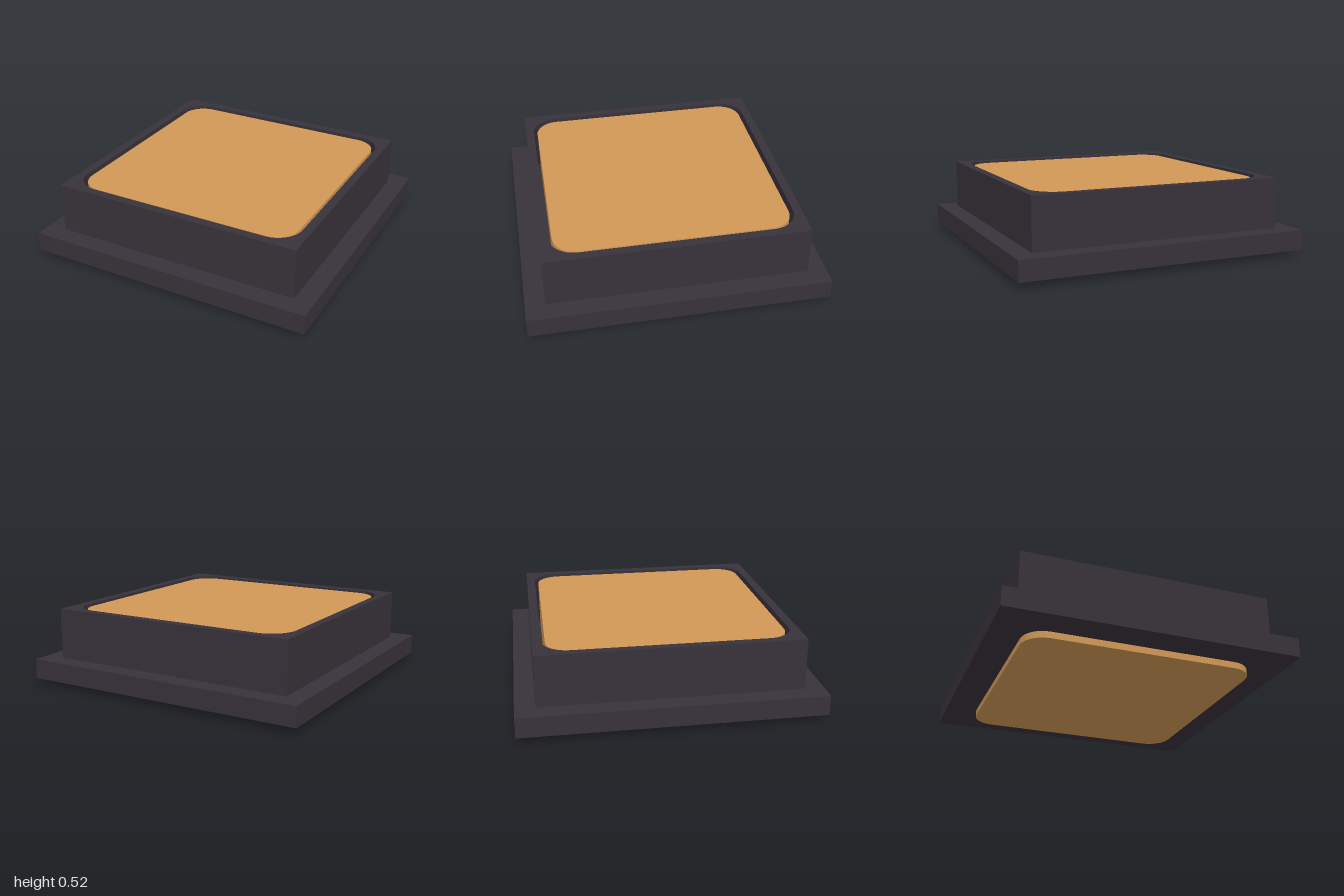
import * as THREE from 'three';
import { toCreasedNormals } from 'three/addons/utils/BufferGeometryUtils.js';

// Square outline with rounded corners, h = half width, r = corner radius
function roundedSquare(path, h, r) {
  const c = h - r;
  path.moveTo(h, -c);
  path.absarc(c, c, r, 0, Math.PI / 2, false);
  path.absarc(-c, c, r, Math.PI / 2, Math.PI, false);
  path.absarc(-c, -c, r, Math.PI, Math.PI * 1.5, false);
  path.absarc(c, -c, r, Math.PI * 1.5, Math.PI * 2, false);
  return path;
}

// Extrude a ground-plan shape upward from y0 to y1
function slab(shape, y0, y1, curveSegments) {
  const geo = new THREE.ExtrudeGeometry(shape, { depth: y1 - y0, bevelEnabled: false, curveSegments });
  geo.rotateX(-Math.PI / 2).translate(0, y0, 0);
  return toCreasedNormals(geo, Math.PI / 5);
}

export function createModel() {
  const group = new THREE.Group();
  const dark = new THREE.MeshStandardMaterial({ color: 0x38323a });
  const amber = new THREE.MeshStandardMaterial({ color: 0xd09856 });

  const add = (name, geometry, material) => {
    const mesh = new THREE.Mesh(geometry, material);
    mesh.name = name;
    group.add(mesh);
  };

  // Wide flat base plate
  add('basePlate', new THREE.BoxGeometry(2, 0.135, 2).translate(0, 0.1125, 0), dark);

  // Square housing with a rounded opening
  const outline = new THREE.Shape();
  const w = 0.87;
  outline.moveTo(-w, -w).lineTo(w, -w).lineTo(w, w).lineTo(-w, w).closePath();
  outline.holes.push(roundedSquare(new THREE.Path(), 0.81, 0.175));
  add('housing', slab(outline, 0.18, 0.525, 10), dark);

  // Coloured block set in the opening, standing proud of the underside
  add('insert', slab(roundedSquare(new THREE.Shape(), 0.785, 0.155), 0, 0.512, 4), amber);

  return group;
}
